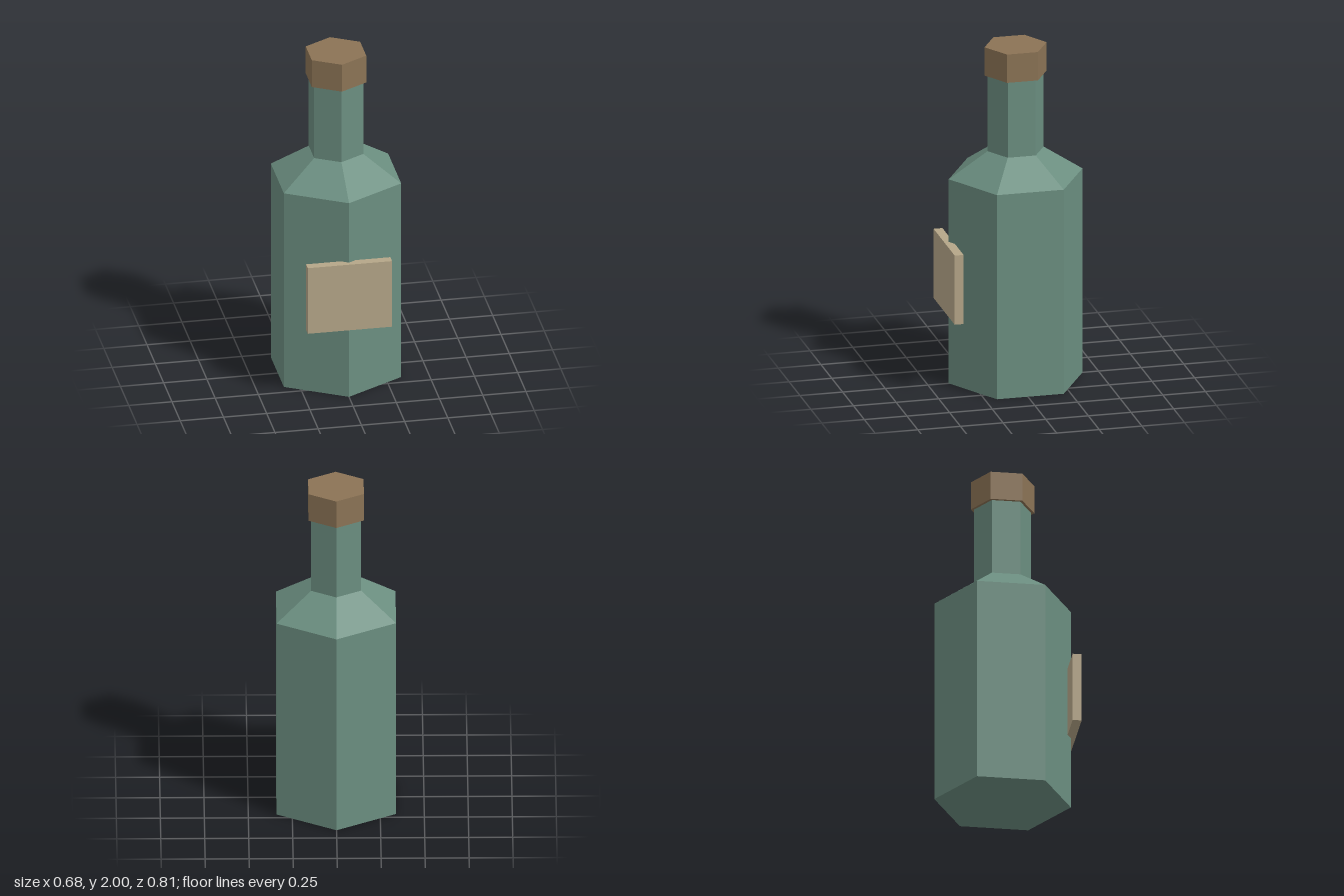
import * as THREE from 'three';

const SIDES = 6;
const AXIS_Z = -0.014; // bottle axis sits slightly back to make room for the label

const material = (color) => new THREE.MeshStandardMaterial({ color, flatShading: true });

export function createModel() {
  const group = new THREE.Group();
  const glass = material(0x6b8e80);
  const cork = material(0x8b7355);
  const paper = material(0xb5a688);

  // Six-sided section between two heights, with a corner facing the front
  const addSection = (name, bottomRadius, topRadius, y0, y1, mat, open = false) => {
    const geometry = new THREE.CylinderGeometry(topRadius, bottomRadius, y1 - y0, SIDES, 1, open);
    const mesh = new THREE.Mesh(geometry, mat);
    mesh.name = name;
    mesh.position.set(0, (y0 + y1) / 2, AXIS_Z);
    group.add(mesh);
  };

  addSection('body', 0.392, 0.392, 0, 1.225, glass);
  addSection('shoulder', 0.392, 0.164, 1.225, 1.375, glass, true);
  addSection('neck', 0.164, 0.164, 1.375, 1.83, glass);
  addSection('cap', 0.182, 0.182, 1.83, 2, cork);

  // Flat label board across the front corner
  const label = new THREE.Mesh(new THREE.BoxGeometry(0.488, 0.415, 0.052), paper);
  label.name = 'label';
  label.position.set(0, 0.642, 0.379);
  group.add(label);

  return group;
}
